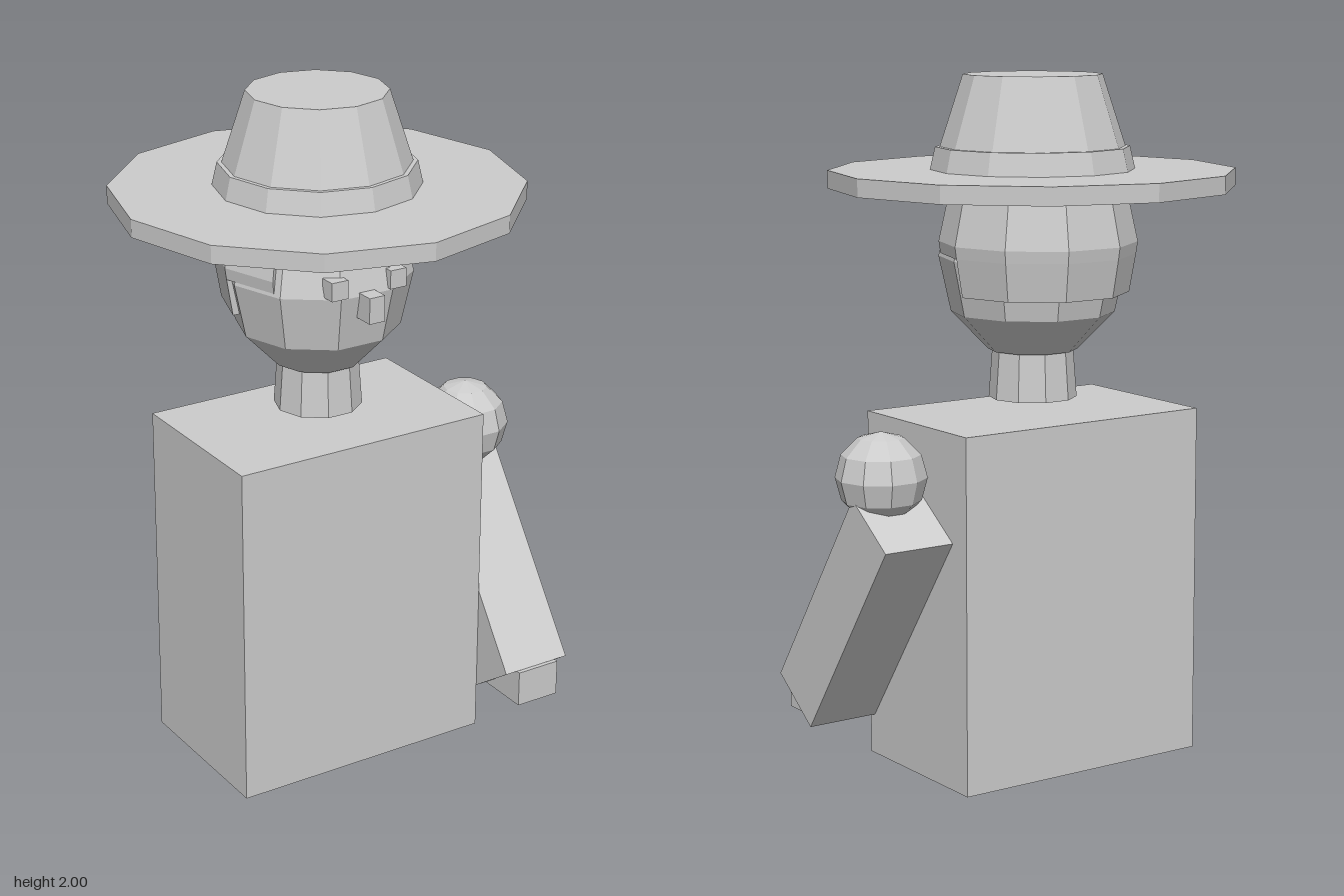
import * as THREE from 'three';

const CX = -0.035; // centre line of torso, head and hat

export function createModel() {
  const model = new THREE.Group();
  model.name = 'figure';
  const grey = new THREE.MeshStandardMaterial({ color: 0xcccccc, flatShading: true, side: THREE.DoubleSide });
  grey.name = 'light grey';

  const add = (name, geometry, x = 0, y = 0, z = 0, parent = model) => {
    const mesh = new THREE.Mesh(geometry, grey);
    mesh.name = name;
    mesh.position.set(x, y, z);
    parent.add(mesh);
    return mesh;
  };
  const box = (name, w, h, d, x, y, z) => add(name, new THREE.BoxGeometry(w, h, d), x, y, z);
  const points = (list) => list.map(([r, y]) => new THREE.Vector2(r, y));

  // Torso
  box('torso', 0.81, 1.03, 0.515, CX, 0.515, 0);

  // Left arm, swung forward
  add('shoulder', new THREE.SphereGeometry(0.131, 10, 6), 0.485, 0.89, 0);
  box('arm', 0.22, 0.735, 0.212, 0.48, 0.48, 0.11).rotation.x = -0.616;
  box('hand', 0.14, 0.11, 0.18, 0.48, 0.185, 0.33);

  // Neck and head, ten sides with corners on the x axis
  add('neck', new THREE.CylinderGeometry(0.117, 0.128, 0.15, 10, 1, false, Math.PI / 2), CX, 1.145, 0);
  const headProfile = points([[0, 1.21], [0.13, 1.21], [0.237, 1.32], [0.272, 1.48], [0.225, 1.67], [0.1, 1.77], [0, 1.78]]);
  add('head', new THREE.LatheGeometry(headProfile, 10, Math.PI / 2), CX, 0, 0);

  // Face
  for (const side of [-1, 1]) box(side < 0 ? 'rightEye' : 'leftEye', 0.052, 0.054, 0.05, CX + side * 0.095, 1.513, 0.245);
  box('nose', 0.05, 0.076, 0.09, CX, 1.452, 0.265);

  // Hair: a closed strip swept round the back of the head, with flat ends
  const hair = new THREE.Group();
  hair.name = 'hair';
  hair.position.set(CX, 0, -0.027);
  model.add(hair);
  const hairPart = (name, profile, startDegrees) => {
    const start = THREE.MathUtils.degToRad(startDegrees);
    const span = 2 * (Math.PI - start);
    const pts = points(profile);
    add(name, new THREE.LatheGeometry([...pts, pts[0]], Math.round(span / (Math.PI / 5)), start, span), 0, 0, 0, hair);
    for (const phi of [start, start + span]) {
      add(name + 'End', new THREE.ShapeGeometry(new THREE.Shape(pts)), 0, 0, 0, hair).rotation.y = phi - Math.PI / 2;
    }
  };
  hairPart('upperHair', [[0.22, 1.49], [0.281, 1.49], [0.286, 1.525], [0.25, 1.69], [0.2, 1.69]], 54);
  hairPart('lowerHair', [[0.22, 1.38], [0.262, 1.38], [0.281, 1.49], [0.22, 1.49]], 90);

  // Hat
  add('hatBrim', new THREE.CylinderGeometry(0.587, 0.587, 0.052, 12), CX, 1.704, 0);
  add('hatBand', new THREE.CylinderGeometry(0.28, 0.295, 0.065, 12), CX, 1.7625, 0);
  add('hatCrown', new THREE.CylinderGeometry(0.2, 0.288, 0.27, 12), CX, 1.865, 0);

  return model;
}
